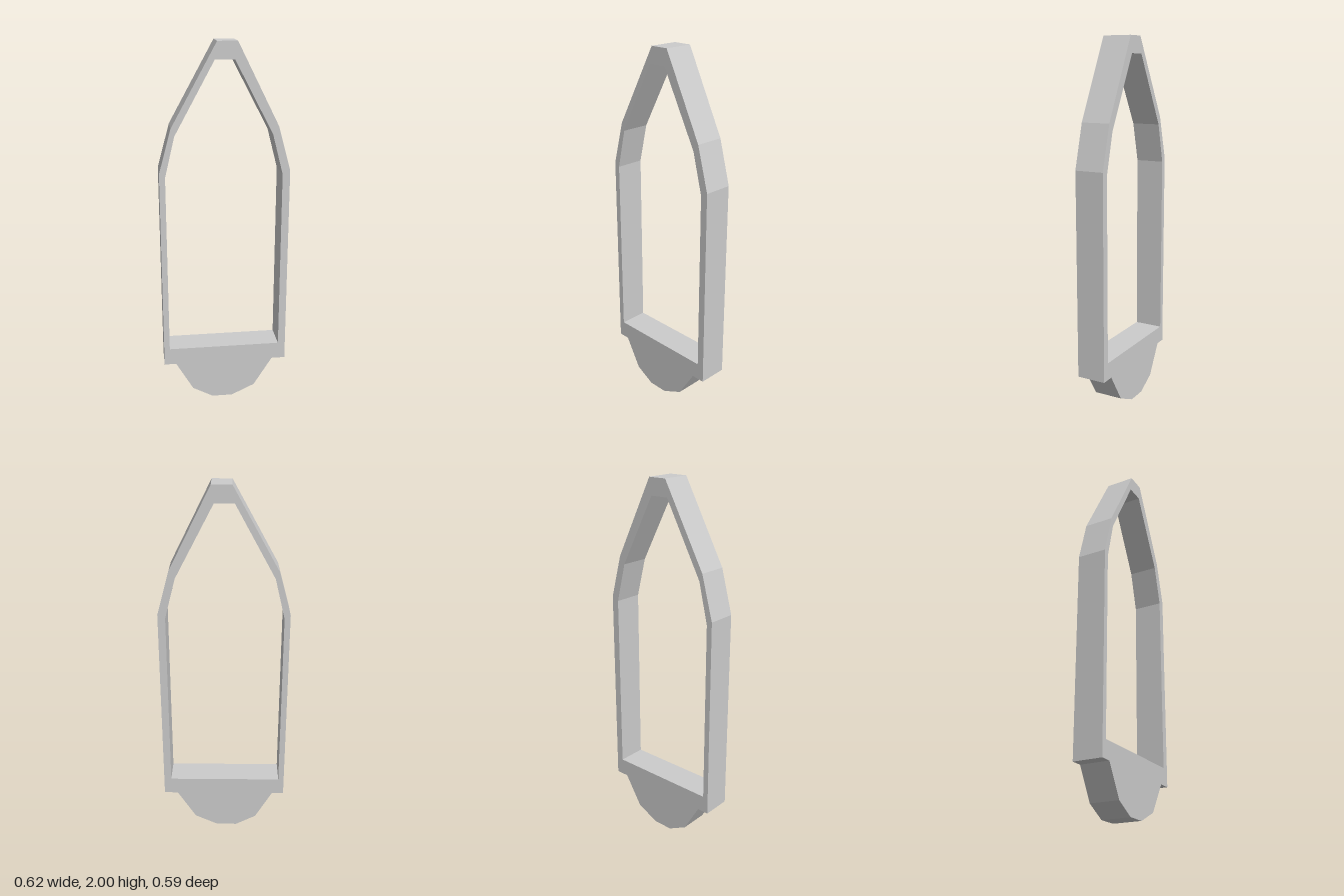
import * as THREE from 'three';

const DEPTH = 0.16;

// Outer outline, counter-clockwise from the bottom of the rounded foot
const OUTER = [
  [-0.073, 0], [0.04, 0], [0.167, 0.06], [0.27, 0.225], [0.345, 0.225],
  [0.345, 1.335], [0.28, 1.57], [0.063, 2], [-0.041, 2],
  [-0.28, 1.57], [-0.345, 1.335], [-0.345, 0.225], [-0.28, 0.225], [-0.185, 0.06],
];

// Pointed opening
const INNER = [
  [-0.314, 0.32], [0.305, 0.32], [0.305, 1.315], [0.249, 1.53],
  [0.049, 1.91], [-0.053, 1.91], [-0.262, 1.53], [-0.314, 1.315],
];

const toPoints = (list) => list.map(([x, y]) => new THREE.Vector2(x, y));

export function createModel() {
  const group = new THREE.Group();
  group.name = 'archedFrame';

  // Flat frame with its solid foot, cut as one slab
  const shape = new THREE.Shape(toPoints(OUTER));
  shape.holes.push(new THREE.Path(toPoints(INNER)));
  const geometry = new THREE.ExtrudeGeometry(shape, { depth: DEPTH, bevelEnabled: false });
  geometry.translate(0, 0, -DEPTH / 2);

  const frame = new THREE.Mesh(
    geometry,
    new THREE.MeshStandardMaterial({ color: 0xcccccc, flatShading: true })
  );
  frame.name = 'frame';

  // The slab stands diagonally
  frame.rotation.y = 0.744;
  group.add(frame);
  return group;
}
